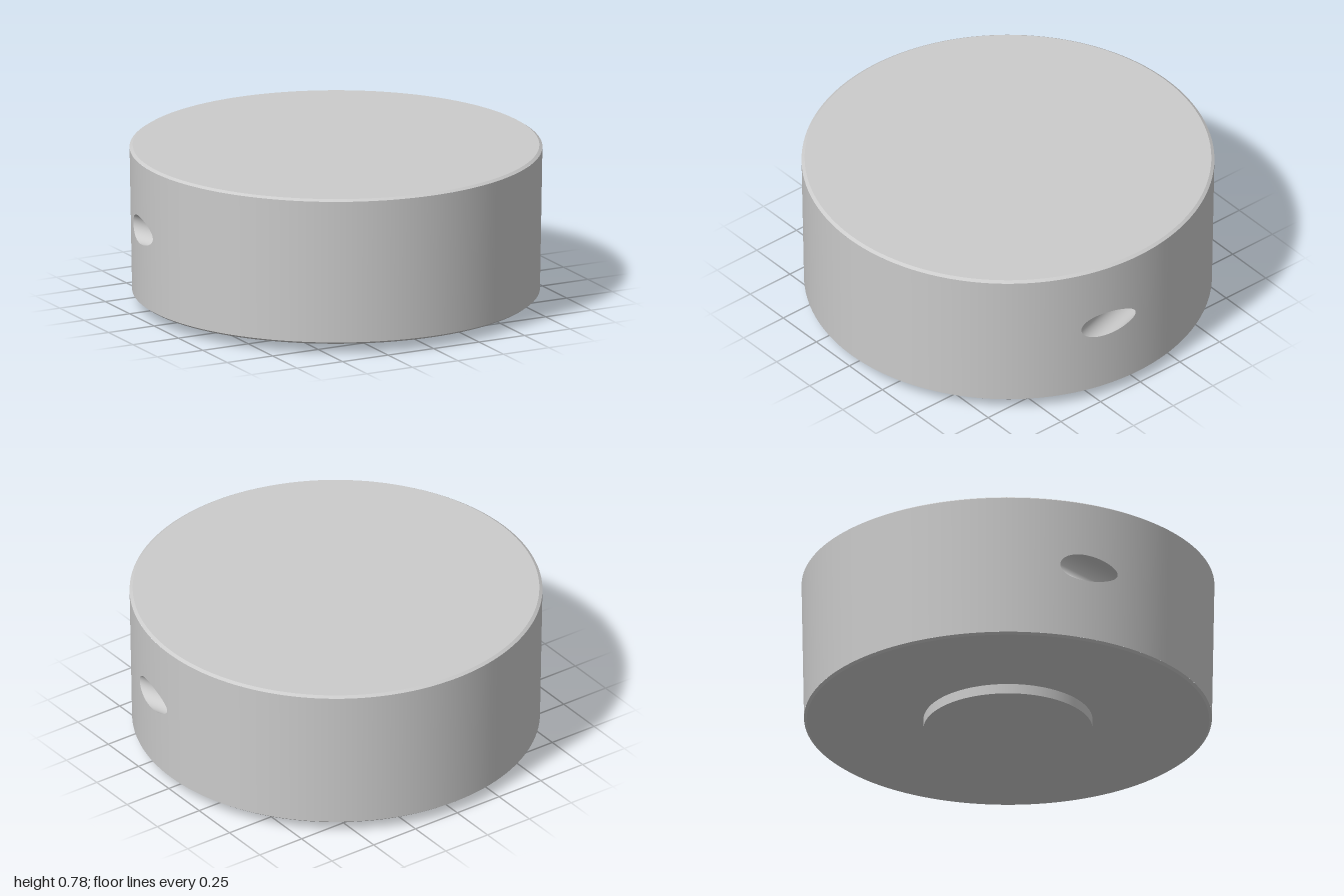
import * as THREE from 'three';
import { ParametricGeometry } from 'three/addons/geometries/ParametricGeometry.js';

const Y0 = 0.06, Y1 = 0.77;                 // straight part of the side wall
const R0 = 0.988, R1 = 1.0;                 // slight taper, wider at the top
const HOLE_Y = 0.432, HOLE_R = 0.068;       // slanting bores
const OFFSET = -0.878;                      // distance of a bore's axis from the centre
const SLANT = THREE.MathUtils.degToRad(73.4);
const WIN_MID = THREE.MathUtils.degToRad(10.8), WIN_HALF = 0.24;

const radiusAt = (y) => R0 + (R1 - R0) * (y - Y0) / (Y1 - Y0);
const onWall = (angle, y, target) =>
  target.set(radiusAt(y) * Math.cos(angle), y, radiusAt(y) * Math.sin(angle));

// Rim of a bore: offset across the bore, height, and angle on the wall
function rim(t) {
  const s = OFFSET + HOLE_R * Math.cos(t), y = HOLE_Y + HOLE_R * Math.sin(t);
  return { s, y, angle: SLANT + Math.asin(s / radiusAt(y)) };
}

export function createModel() {
  const model = new THREE.Group();
  const material = new THREE.MeshStandardMaterial({ color: 0xcccccc });
  const add = (parent, name, geometry) => {
    const mesh = new THREE.Mesh(geometry, material);
    mesh.name = name;
    parent.add(mesh);
    return mesh;
  };
  const band = (name, r0, y0, r1, y1) => add(model, name,
    new THREE.LatheGeometry([new THREE.Vector2(r0, y0), new THREE.Vector2(r1, y1)], 128));

  // Flat faces and narrow chamfers
  band('underside', 0, 0.05, 0.975, 0.05);
  band('lowerChamfer', 0.975, 0.05, R0, Y0);
  band('upperChamfer', R1, Y1, 0.985, 0.78);
  band('topFace', 0.985, 0.78, 0, 0.78);

  // Short round foot
  add(model, 'foot', new THREE.CylinderGeometry(0.41, 0.41, 0.055, 96)).position.y = 0.0275;

  // Two equal halves of the wall, each with one bore
  for (let i = 0; i < 2; i++) {
    const half = new THREE.Group();
    half.name = 'wallHalf';
    half.rotation.y = i * Math.PI;
    model.add(half);

    // Plain wall from one bore panel to the next
    add(half, 'sideWall', new ParametricGeometry((u, v, p) => {
      const angle = WIN_MID + WIN_HALF + v * (Math.PI - 2 * WIN_HALF);
      onWall(angle, Y0 + u * (Y1 - Y0), p);
    }, 2, 64));

    // Panel lofted from the bore's rim out to a rectangle
    add(half, 'borePanel', new ParametricGeometry((u, v, p) => {
      const t = -v * Math.PI * 2, c = Math.cos(t), s = Math.sin(t);
      const m = Math.max(Math.abs(c), Math.abs(s)), inner = rim(t);
      const outerAngle = WIN_MID + WIN_HALF * c / m;
      const outerY = (Y0 + Y1) / 2 + (Y1 - Y0) / 2 * s / m;
      onWall(THREE.MathUtils.lerp(inner.angle, outerAngle, u),
        THREE.MathUtils.lerp(inner.y, outerY, u), p);
    }, 10, 64));

    // Inside of the blind bore
    const ca = Math.cos(SLANT), sa = Math.sin(SLANT);
    add(half, 'bore', new ParametricGeometry((u, v, p) => {
      const { s, y } = rim(u * Math.PI * 2);
      const w = v * Math.sqrt(radiusAt(y) ** 2 - s * s);
      p.set(ca * w - sa * s, y, sa * w + ca * s);
    }, 64, 6));
    const end = add(half, 'boreEnd', new THREE.CircleGeometry(HOLE_R, 64));
    end.position.set(-sa * OFFSET, HOLE_Y, ca * OFFSET);
    end.rotation.y = Math.PI / 2 - SLANT;
  }
  return model;
}
